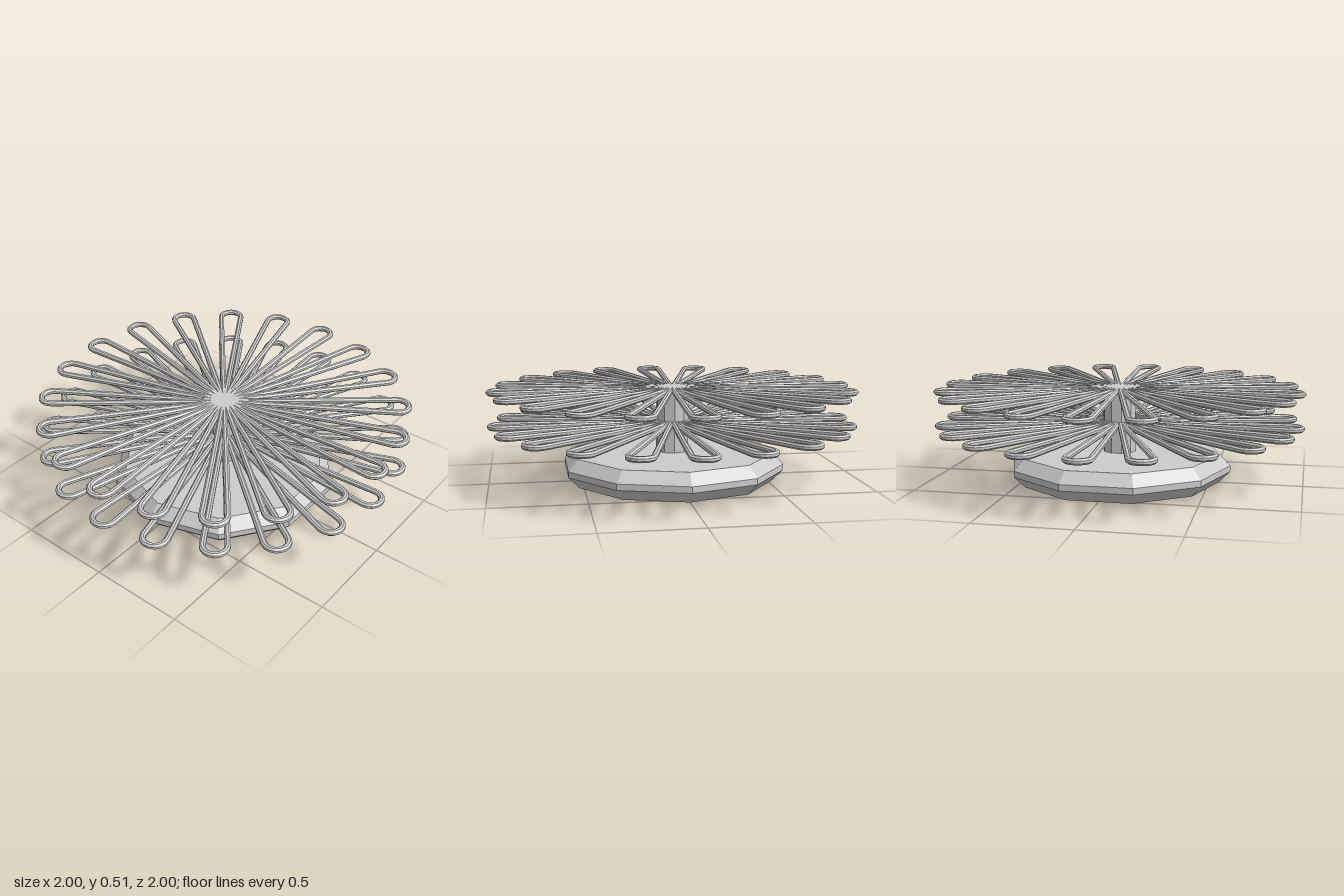
import * as THREE from 'three';

const material = new THREE.MeshStandardMaterial({ color: 0xcccccc, flatShading: true });

// Sweep an octagonal wire (flat side up) along a path lying in the XZ plane
function sweepWire(path, radius, sides = 8) {
  const pos = [], index = [];
  path.forEach((p, i) => {
    const a = path[Math.max(i - 1, 0)], b = path[Math.min(i + 1, path.length - 1)];
    const t = b.clone().sub(a).normalize();
    const seg = (i > 0 ? p.clone().sub(a) : b.clone().sub(p)).normalize();
    const miter = 1 / Math.max(t.dot(seg), 0.5);
    for (let k = 0; k < sides; k++) {
      const ang = ((k + 0.5) / sides) * Math.PI * 2;
      const s = Math.cos(ang) * radius * miter;
      pos.push(p.x - t.y * s, Math.sin(ang) * radius, p.y + t.x * s);
      if (i < path.length - 1) {
        const A = i * sides + k, C = i * sides + (k + 1) % sides;
        index.push(A, A + sides, C, A + sides, C + sides, C);
      }
    }
  });
  const geo = new THREE.BufferGeometry();
  geo.setAttribute('position', new THREE.Float32BufferAttribute(pos, 3));
  geo.setIndex(index);
  geo.computeVertexNormals();
  return geo;
}

// Teardrop loop: from the hub out to a round tip and back
function loopGeometry() {
  const wire = 0.016, tipRadius = 0.06, tipCentre = 1 - wire - tipRadius, steps = 8;
  const path = [new THREE.Vector2(0, 0)];
  for (let i = 0; i <= steps; i++) {
    const a = -Math.PI / 2 + (i / steps) * Math.PI;
    path.push(new THREE.Vector2(tipCentre + Math.cos(a) * tipRadius, Math.sin(a) * tipRadius));
  }
  path.push(new THREE.Vector2(0, 0));
  return sweepWire(path, wire);
}

export function createModel() {
  const model = new THREE.Group();
  model.name = 'tieredWireStand';
  const add = (parent, geo, name) => {
    const mesh = new THREE.Mesh(geo, material);
    mesh.name = name;
    parent.add(mesh);
    return mesh;
  };

  // Ten-sided base with chamfered top and bottom edges
  const profile = [[0, 0], [0.55, 0], [0.612, 0.062], [0.612, 0.095], [0.555, 0.155], [0, 0.155]]
    .map(([x, y]) => new THREE.Vector2(x, y));
  add(model, new THREE.LatheGeometry(profile, 10, Math.PI / 2), 'base');

  // Ten-sided post
  const post = add(model, new THREE.CylinderGeometry(0.09, 0.09, 0.345, 10, 1, false, Math.PI / 2), 'post');
  post.position.y = 0.15 + 0.345 / 2;

  // Two tiers of twenty radiating wire loops
  const loop = loopGeometry();
  [['lowerTier', 0.312], ['upperTier', 0.496]].forEach(([name, y]) => {
    const tier = new THREE.Group();
    tier.name = name;
    tier.position.y = y;
    for (let i = 0; i < 20; i++) add(tier, loop, 'wireLoop').rotation.y = (i / 20) * Math.PI * 2;
    model.add(tier);
  });
  return model;
}
